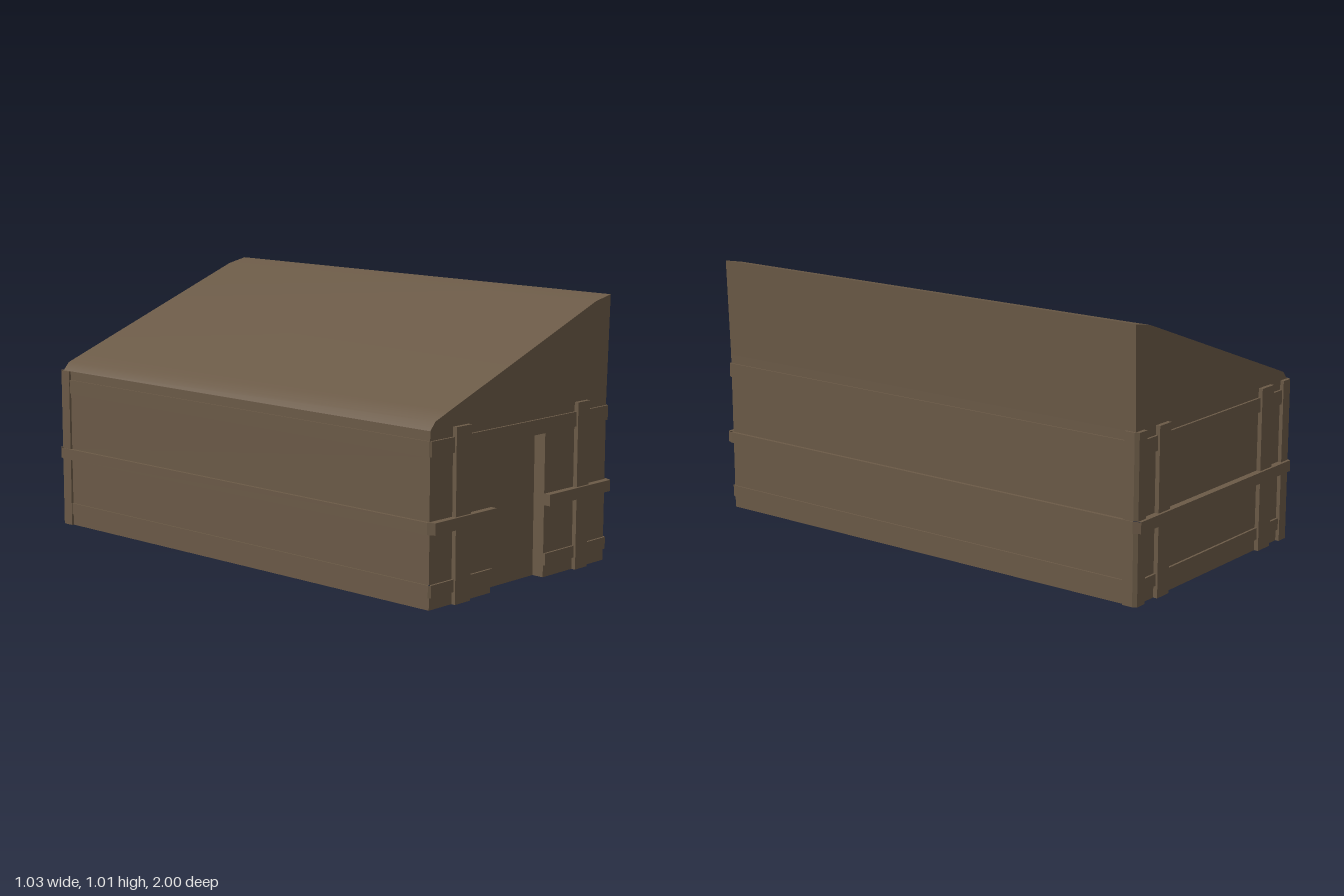
import * as THREE from 'three';
import { toCreasedNormals } from 'three/addons/utils/BufferGeometryUtils.js';

const wood = new THREE.MeshStandardMaterial({ color: 0x6b5a47, side: THREE.DoubleSide });
wood.name = 'weathered brown wood';

const wallX = 0.502, wallZ = 0.973, eaveY = 0.63;
const within = (v, [a, b]) => v > a && v < b;

// Heights of the rails, and the upright posts and doorway across the ends
const bottomRail = [0.045, 0.09], middleRail = [0.27, 0.313], topRail = [0.54, 0.595];
const rows = [0, ...bottomRail, ...middleRail, ...topRail, eaveY];
const posts = [[-0.382, -0.3], [0.308, 0.38]];
const door = [-0.17, 0.135];
const columns = [-wallX, -0.455, ...posts[0], ...door, ...posts[1], 0.455, wallX];

// How far each wall stands out from the centre at a given place
function sideDepth(z, y) {
  if (within(y, middleRail)) return 0.515;
  if (z < -0.93) return 0.511;
  if (within(y, topRail) || within(y, bottomRail)) return 0.508;
  return wallX;
}
function endDepth(x, y) {
  if (within(y, middleRail)) return 1;
  if (posts.some((post) => within(x, post))) return 0.99;
  if (within(y, topRail) || within(y, bottomRail)) return 0.982;
  return wallZ;
}
function frontDepth(x, y) {
  return within(x, door) && y < topRail[0] ? 0.925 : endDepth(x, y);
}
function backDepth(x, y) {
  return Math.max(endDepth(x, y), Math.abs(x) > 0.455 ? 0.988 : 0);
}

// Geometry from a list of four-cornered faces
function quadGeometry(quads) {
  const positions = quads.flatMap(([a, b, c, d]) => [a, b, c, a, c, d].flat());
  const geometry = new THREE.BufferGeometry();
  geometry.setAttribute('position', new THREE.Float32BufferAttribute(positions, 3));
  geometry.computeVertexNormals();
  return geometry;
}

// Single-skin wall pressed out into rails and posts over a grid of cells.
// edge(v) gives the half width at which an outer step meets the next wall.
function reliefWall(us, vs, base, depth, place, edge) {
  const quads = [];
  const quad = (...corners) => quads.push(corners.map((c) => place(...c)));
  const last = us.length - 2, top = vs.length - 2;
  for (let i = 0; i <= last; i++) {
    for (let j = 0; j <= top; j++) {
      const u0 = us[i], u1 = us[i + 1], v0 = vs[j], v1 = vs[j + 1];
      const u = (u0 + u1) / 2, v = (v0 + v1) / 2, d = depth(u, v);
      quad([u0, v0, d], [u1, v0, d], [u1, v1, d], [u0, v1, d]);

      // Step up to the next row
      const above = j < top ? depth(u, (v1 + vs[j + 2]) / 2) : base;
      if (above !== d) quad([u0, v1, d], [u1, v1, d], [u1, v1, above], [u0, v1, above]);

      // Step across to the next column
      if (i < last) {
        const next = depth((u1 + us[i + 2]) / 2, v);
        if (next !== d) quad([u1, v0, d], [u1, v0, next], [u1, v1, next], [u1, v1, d]);
      }

      // Chamfered corners
      if (edge && i === last) {
        const e = edge(v);
        quad([u1, v0, d], [e, v0, base], [e, v1, base], [u1, v1, d]);
      }
      if (edge && i === 0) {
        const e = -edge(v);
        quad([e, v0, base], [u0, v0, d], [u0, v1, d], [e, v1, base]);
      }
    }
  }
  return quadGeometry(quads);
}

export function createModel() {
  const group = new THREE.Group();
  group.name = 'leanToShed';
  const add = (name, geometry) => {
    const mesh = new THREE.Mesh(geometry, wood);
    mesh.name = name;
    group.add(mesh);
    return mesh;
  };

  // Long side walls with rails and a post at the back corner
  const lengths = [-wallZ, -0.93, wallZ];
  add('leftWall', reliefWall(lengths, rows, wallX, sideDepth, (u, v, d) => [d, v, u]));
  add('rightWall', reliefWall(lengths, rows, wallX, sideDepth, (u, v, d) => [-d, v, u]));

  // End walls; the front one has a recessed door
  add('frontWall', reliefWall(columns, rows, wallZ, frontDepth,
    (u, v, d) => [u, v, d], (v) => sideDepth(0.95, v)));
  add('backWall', reliefWall(columns, rows, wallZ, backDepth,
    (u, v, d) => [u, v, -d], (v) => sideDepth(-0.95, v)));

  // Tall upper wall and sloping roof, softened along the low eave
  const profile = [[wallX, eaveY], [0.515, 1.01], [0.425, 0.992],
    [-0.4, 0.688], [-0.475, 0.66], [-wallX, eaveY]];
  const strips = profile.slice(1).map(([x1, y1], i) => {
    const [x0, y0] = profile[i];
    return [[x0, y0, wallZ], [x0, y0, -wallZ], [x1, y1, -wallZ], [x1, y1, wallZ]];
  });
  add('roof', toCreasedNormals(quadGeometry(strips), 0.9));

  // Gables closing both ends under the roof
  const gable = new THREE.ShapeGeometry(
    new THREE.Shape(profile.map(([x, y]) => new THREE.Vector2(x, y))));
  add('frontGable', gable).position.z = wallZ;
  add('backGable', gable).position.z = -wallZ;

  return group;
}
